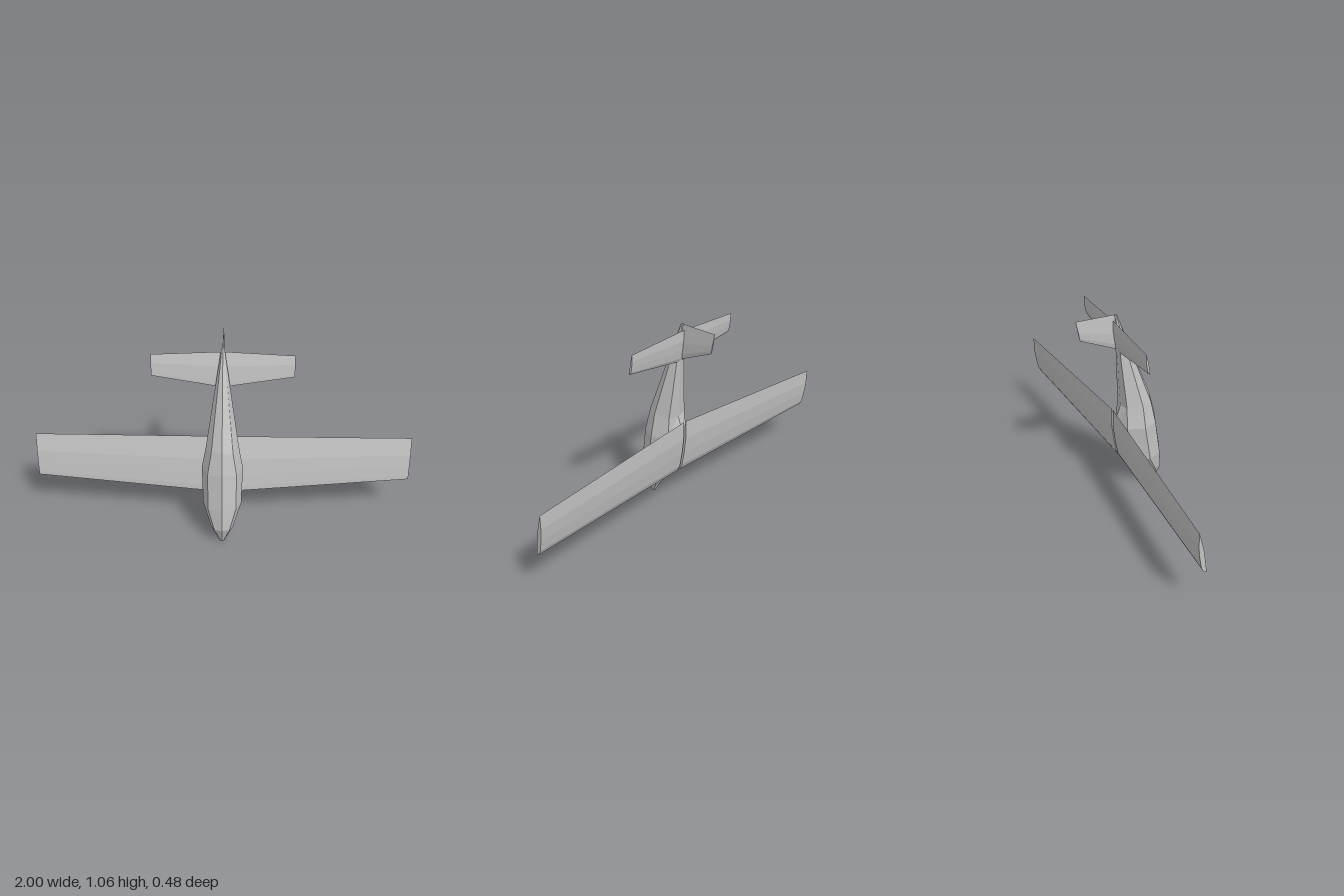
import * as THREE from 'three';

// Closed faceted skin through a list of rings with equal point counts, ends capped.
function loft(rings) {
  const n = rings[0].length;
  const tris = [];
  for (let r = 0; r < rings.length - 1; r++) {
    for (let i = 0; i < n; i++) {
      const j = (i + 1) % n;
      const a = rings[r][i], b = rings[r][j], c = rings[r + 1][j], d = rings[r + 1][i];
      tris.push([a, b, c], [a, c, d]);
    }
  }
  const first = rings[0], last = rings[rings.length - 1];
  // Caps zigzag across the outline so thin curved sections fill correctly.
  for (let lo = 0, hi = n - 1; hi - lo >= 2 || hi - lo === 1; ) {
    if (hi - lo < 2) break;
    tris.push([first[lo], first[hi], first[lo + 1]], [last[lo], last[lo + 1], last[hi]]);
    lo++;
    if (hi - lo < 2) break;
    tris.push([first[lo], first[hi], first[hi - 1]], [last[lo], last[hi - 1], last[hi]]);
    hi--;
  }
  // Turn all faces outward: the enclosed volume must be positive.
  const v = (p) => new THREE.Vector3(...p);
  const volume = tris.reduce((s, [a, b, c]) => s + v(a).dot(v(b).cross(v(c))), 0);
  if (volume < 0) tris.forEach((t) => t.reverse());
  const geometry = new THREE.BufferGeometry();
  geometry.setAttribute('position', new THREE.Float32BufferAttribute(tris.flat(2), 3));
  geometry.computeVertexNormals();
  return geometry;
}

// Aerofoil outline as [along chord, offset], from nose over the top and back underneath.
const AEROFOIL = [
  [0, 0], [0.03, -0.06], [0.14, -0.115], [0.4, -0.165], [0.68, -0.2],
  [1, -0.2], [0.6, -0.09], [0.32, -0.042], [0.09, -0.008],
];
const foil = (x, y, z, chord) => AEROFOIL.map(([t, o]) => [x, y + t * chord, z + o * chord]);

// Fuselage stations: [y, z] of belly, lower side, flank, upper side and spine,
// with the half widths of the three side points.
const STATIONS = [
  { p: [[0.005, 0.197], [0.005, 0.194], [0.003, 0.185], [0.002, 0.176], [0.002, 0.172]], w: [0.009, 0.013, 0.009] },
  { p: [[0.112, 0.24], [0.105, 0.22], [0.1, 0.185], [0.12, 0.11], [0.13, 0.095]], w: [0.04, 0.058, 0.04] },
  { p: [[0.238, 0.227], [0.224, 0.196], [0.213, 0.126], [0.218, 0.05], [0.196, 0.017]], w: [0.072, 0.1, 0.07] },
  { p: [[0.44, 0.196], [0.425, 0.166], [0.42, 0.092], [0.42, 0.004], [0.465, -0.025]], w: [0.074, 0.106, 0.07] },
  { p: [[0.563, 0.165], [0.546, 0.146], [0.546, 0.086], [0.535, 0.008], [0.532, -0.003]], w: [0.055, 0.084, 0.058] },
  { p: [[1.053, -0.022], [1.053, -0.024], [1.053, -0.028], [1.053, -0.032], [1.053, -0.034]], w: [0.005, 0.008, 0.005] },
];

function fuselageRing({ p, w }) {
  const half = [0, ...w, 0];
  const right = p.map(([y, z], i) => [half[i], y, z]);
  const left = [3, 2, 1].map((i) => [-half[i], ...p[i]]);
  return [...right, ...left];
}

// Slim six sided fin section between a leading and a trailing [y, z] point.
function finRing([y0, z0], [y1, z1], thick) {
  const at = (t, x) => [x, y0 + (y1 - y0) * t, z0 + (z1 - z0) * t];
  return [at(0, 0), at(0.15, thick * 0.8), at(0.45, thick), at(1, 0), at(0.45, -thick), at(0.15, -thick * 0.8)];
}

export function createModel() {
  const model = new THREE.Group();
  model.name = 'glider';
  const grey = new THREE.MeshStandardMaterial({ color: 0xc0c0c0, flatShading: true });
  grey.name = 'light grey';

  const add = (name, rings) => {
    const mesh = new THREE.Mesh(loft(rings), grey);
    mesh.name = name;
    model.add(mesh);
  };

  // Body, nose pointing down
  add('fuselage', STATIONS.map(fuselageRing));

  // Wings with dihedral and tailplane halves, mirrored
  for (const [side, s] of [['left', 1], ['right', -1]]) {
    add(side + 'Wing', [foil(s * 0.008, 0.197, 0.015, 0.32), foil(s, 0.24, -0.061, 0.237)]);
    add(side + 'Tailplane', [foil(0, 0.845, -0.008, 0.18), foil(s * 0.355, 0.9, -0.02, 0.108)]);
  }

  // Upright fin
  add('tailFin', [
    finRing([0.858, -0.012], [1.053, -0.022], 0.007),
    finRing([0.95, -0.218], [1.057, -0.238], 0.004),
  ]);

  return model;
}
